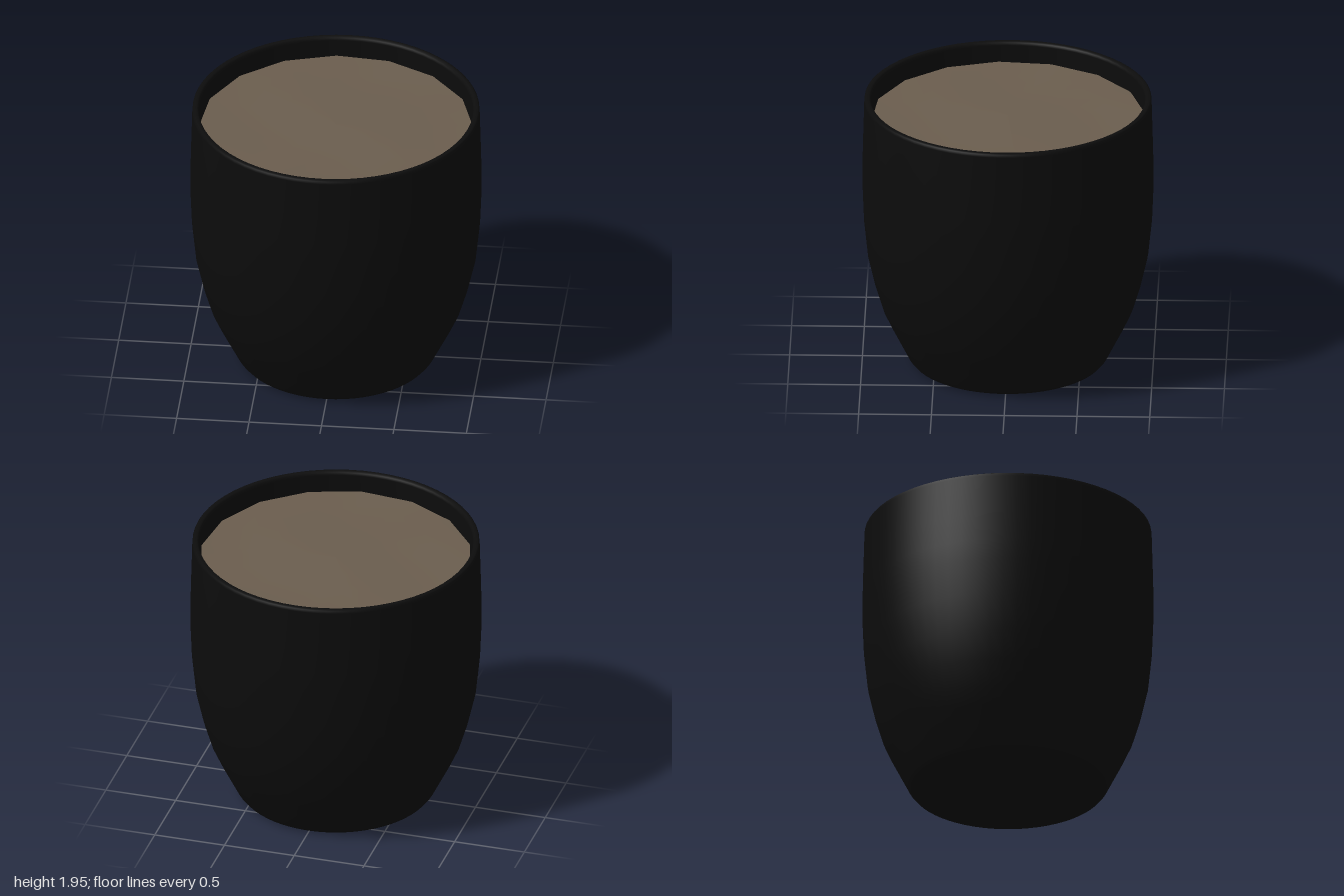
import * as THREE from 'three';

const potBlack = new THREE.MeshStandardMaterial({ color: 0x0c0c0c });
potBlack.name = 'potBlack';
const soilBrown = new THREE.MeshStandardMaterial({ color: 0x6a5d4e });
soilBrown.name = 'soilBrown';

// Pot: one closed profile, from the base centre up the outside and down the inside
function createPot() {
  const profile = [
    [0, 0.005], [0.58, 0.005], [0.63, 0.009], [0.665, 0.02], [0.69, 0.05],
    [0.75, 0.17], [0.81, 0.29], [0.86, 0.4], [0.915, 0.58], [0.963, 0.79],
    [0.99, 1.05], [1, 1.3], [1, 1.45], [0.995, 1.65], [0.987, 1.93],
    [0.985, 1.95], [0.975, 1.956], [0.955, 1.956], [0.945, 1.948], [0.942, 1.93],
    [0.945, 1.65], [0.945, 1.3], [0.93, 1.05], [0.86, 0.58], [0.68, 0.15],
    [0.6, 0.08], [0, 0.08],
  ].map(([r, y]) => new THREE.Vector2(r, y));
  const mesh = new THREE.Mesh(new THREE.LatheGeometry(profile, 64), potBlack);
  mesh.name = 'pot';
  return mesh;
}

// Soil: a sixteen-sided disc with a gently uneven surface
function createSoil() {
  const geometry = new THREE.RingGeometry(0, 0.94, 16, 4, 0.096);
  geometry.rotateX(-Math.PI / 2);
  const p = geometry.attributes.position;
  for (let i = 0; i < p.count; i++) {
    const x = p.getX(i), z = p.getZ(i);
    const fade = 1 - (x * x + z * z) / 0.8836;
    p.setY(i, 1.81 + 0.012 * fade * Math.sin(4 * x + 1) * Math.cos(5 * z));
  }
  geometry.computeVertexNormals();
  const mesh = new THREE.Mesh(geometry, soilBrown);
  mesh.name = 'soil';
  return mesh;
}

export function createModel() {
  const group = new THREE.Group();
  group.name = 'plantPot';
  group.add(createPot(), createSoil());
  return group;
}
